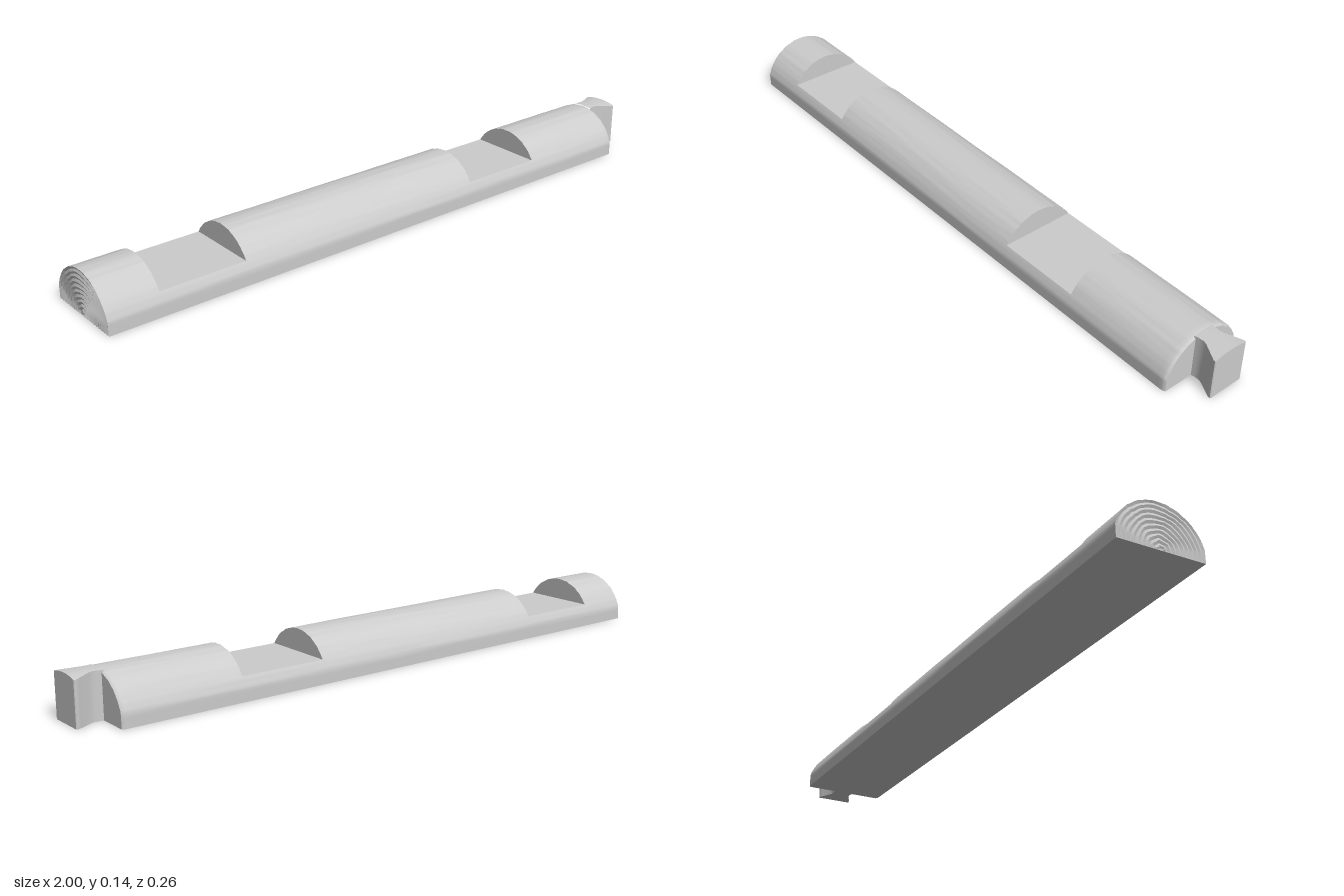
import * as THREE from 'three';
import { mergeGeometries, toCreasedNormals } from 'three/addons/utils/BufferGeometryUtils.js';

const RADIUS = 0.138, HALF = 0.132, FLOOR = 0.07, START = -1, END = 0.91;
const NOTCHES = [[-0.84, -0.57], [0.265, 0.537]];
const SEAT = Math.asin(FLOOR / RADIUS); // angle where the notch floor meets the bark

const steps = (a, b, n) => Array.from({ length: n + 1 }, (_, i) => a + (b - a) * i / n);

// Surface over two lists of parameters; it faces du x dv
function grid(us, vs, fn) {
  const pos = [], index = [], n = vs.length;
  us.forEach(u => vs.forEach(v => pos.push(...fn(u, v))));
  for (let i = 0; i < us.length - 1; i++) {
    for (let j = 0; j < n - 1; j++) {
      const a = i * n + j, b = a + n;
      index.push(a, b, b + 1, a, b + 1, a + 1);
    }
  }
  const g = new THREE.BufferGeometry();
  g.setAttribute('position', new THREE.Float32BufferAttribute(pos, 3));
  g.setIndex(index);
  return g;
}

// Point on the bark at length x and angle t, with long wavy grain
function bark(x, t) {
  const y0 = RADIUS * Math.sin(t);
  const fade = Math.min(1, Math.abs(y0 - FLOOR) / 0.02) * Math.min(1, y0 / 0.03);
  const grain = Math.sin(t * 24 + 2.5 * Math.sin(x * 3.1) + x * 4) * Math.sin(x * 5.3 + t * 3)
    + 0.5 * Math.sin(t * 41 + 2 * Math.sin(x * 6.7 + 1));
  const worn = 0.005 * Math.max(0, (x - END + 0.01) / 0.01) ** 2; // eased tenon end
  const r = RADIUS + 0.0007 * grain * fade - worn;
  const half = HALF - worn;
  return [x, r * Math.sin(t), Math.max(-half, Math.min(half, r * Math.cos(t)))];
}

function makeMesh(name, parts, crease, material) {
  const mesh = new THREE.Mesh(toCreasedNormals(mergeGeometries(parts), crease), material);
  mesh.name = name;
  return mesh;
}

export function createModel() {
  const model = new THREE.Group();
  model.name = 'notchedHalfLog';
  const wood = new THREE.MeshStandardMaterial({ color: 0xcccccc });
  wood.name = 'pale grey wood';

  // Stations along the log, cut at the notch edges
  const cuts = [START, ...NOTCHES.flat(), END];
  const spans = cuts.slice(0, -1).map((a, i) => {
    const b = cuts[i + 1], xs = steps(a, b, Math.ceil((b - a) / 0.025));
    if (b === END) xs.splice(-1, 0, END - 0.01, END - 0.005);
    return xs;
  });
  const low = steps(0, SEAT, 10), crown = steps(SEAT, Math.PI - SEAT, 48);
  const high = steps(Math.PI - SEAT, Math.PI, 10);

  const skin = [], floors = [], walls = [], base = [];
  spans.forEach((xs, i) => {
    skin.push(grid(xs, low, bark), grid(xs, high, bark));
    base.push(grid(xs, [Math.PI, 0], bark));
    if (i % 2 === 0) skin.push(grid(xs, crown, bark));
    else floors.push(grid(xs, [SEAT, Math.PI - SEAT], bark));
  });

  // Upright walls at both ends of every notch
  const wall = x => (k, t) => {
    const [, y, z] = bark(x, t);
    return [x, FLOOR + (y - FLOOR) * k, z];
  };
  NOTCHES.forEach(([a, b]) => {
    walls.push(grid([1, 0], crown, wall(a)), grid([0, 1], crown, wall(b)));
  });

  // Plain end behind the tenon, and the sawn end with growth rings in relief
  const around = [...low, ...crown.slice(1), ...high.slice(1)];
  const cap = (x, relief) => (s, t) => {
    const [, y, z] = bark(x, t);
    const k = s > 0 && s < 1 ? s + 0.008 * Math.sin(t * 7 + s * 9) : s;
    return [x + relief(s), y * k, z * k];
  };
  const ring = s => (Math.round(s * 20) % 2 ? 0.003 : 0);
  const tenonEnd = grid([1, 0], around, cap(END, () => 0));
  const ringEnd = grid(steps(0, 1, 20), around, cap(START, ring));

  model.add(
    makeMesh('bark', skin, 0.6, wood),
    makeMesh('notchFloors', floors, 0.3, wood),
    makeMesh('notchWalls', walls, 0.3, wood),
    makeMesh('flatBase', base, 0.3, wood),
    makeMesh('shoulderEnd', [tenonEnd], 0.3, wood),
    makeMesh('ringedEnd', [ringEnd], 0.3, wood)
  );

  // Dovetail tenon: [x, half width], narrow neck flaring to the tip
  const flare = [[0.905, 0.034], [0.92, 0.031], [0.935, 0.03], [0.945, 0.033],
    [0.985, 0.053], [0.993, 0.057], [0.998, 0.057], [1, 0.055]];
  const section = ([x, w], v) => {
    if (Math.abs(v) > 1) return [x, 0, -Math.sign(v) * w];
    return [x, 0.139 - 2.4 * (v * w) ** 2, -v * w];
  };
  const outline = [-2, ...steps(-1, 1, 12), 2];
  const tip = flare[flare.length - 1];
  const tenon = [
    grid(flare, outline, section),
    grid(flare, [2, -2], section),
    grid([1, 0], outline, (k, v) => {
      const [x, y, z] = section(tip, v);
      return [x, y * k, z];
    })
  ];
  model.add(makeMesh('dovetailTenon', tenon, 0.7, wood));
  return model;
}
